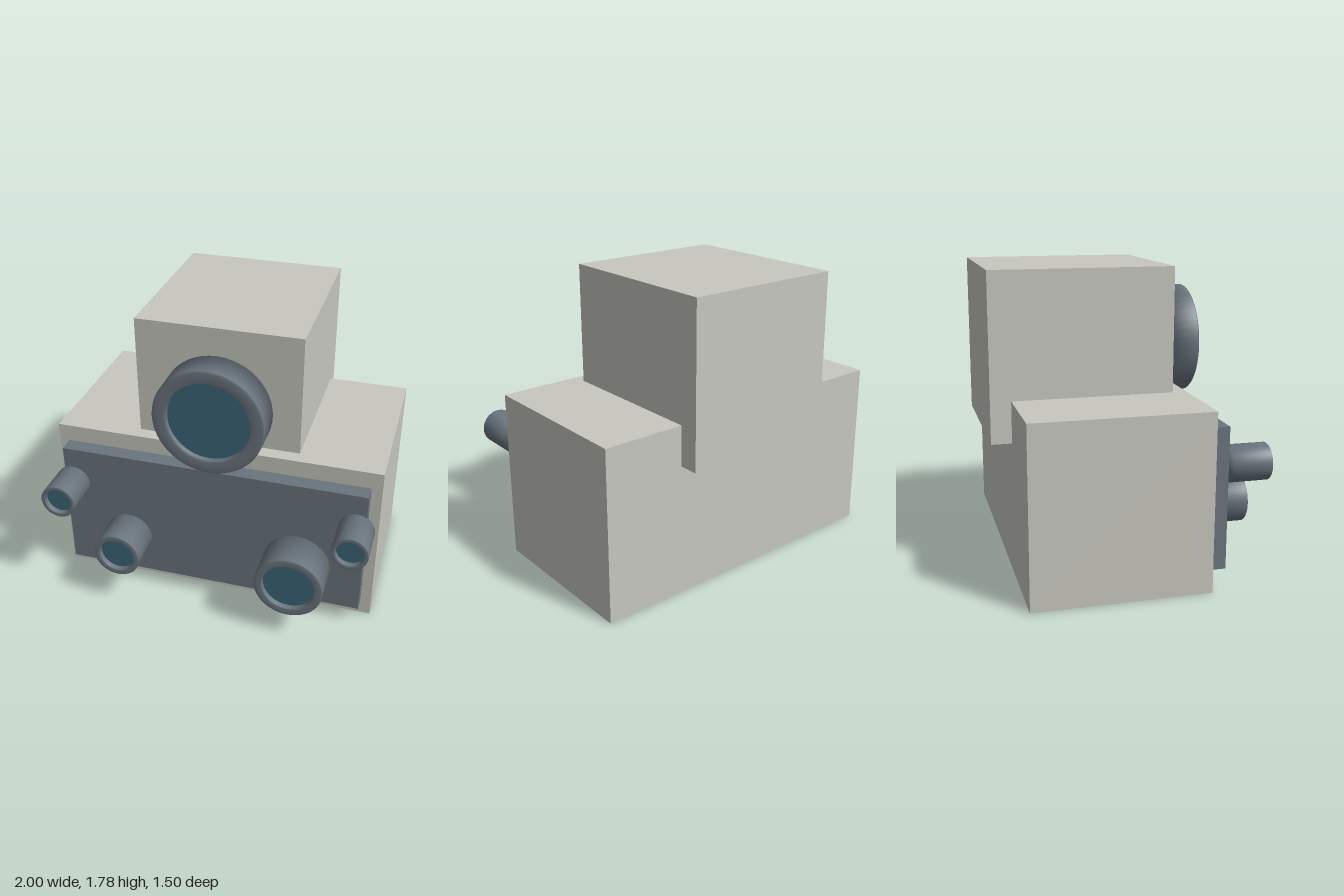
import * as THREE from 'three';

export function createModel() {
  const model = new THREE.Group();
  const paint = (name, color) => {
    const m = new THREE.MeshStandardMaterial({ color });
    m.name = name;
    return m;
  };
  const casing = paint('pale grey casing', 0xc8c8c0);
  const slate = paint('slate grey', 0x6a757e);
  const glass = paint('teal glass', 0x3c6678);

  // Box given by its lower and upper corners
  const box = (name, material, a, b) => {
    const size = b.map((v, i) => v - a[i]);
    const mesh = new THREE.Mesh(new THREE.BoxGeometry(...size), material);
    mesh.position.set(...a.map((v, i) => (v + b[i]) / 2));
    mesh.name = name;
    model.add(mesh);
  };
  box('body', casing, [-1, 0, -0.63], [1, 1.05, 0.41]);
  box('head', casing, [-0.495, 0.805, -0.75], [0.495, 1.785, 0.325]);
  box('frontPanel', slate, [-0.94, 0.11, 0.405], [0.935, 0.945, 0.508]);

  // Softly shaded barrel with a raised rim and a recessed glass disc
  const lens = (name, x, y, r, inner, back, front) => {
    const group = new THREE.Group();
    group.name = name;
    const c = 0.03 * r;
    const recess = 0.035;
    const profile = [
      [0, back], [r, back], [r, front - c], [r - c, front],
      [inner + c, front], [inner, front - c], [inner, front - recess - 0.01],
    ].map(([px, py]) => new THREE.Vector2(px, py));
    const barrel = new THREE.Mesh(new THREE.LatheGeometry(profile, 48).rotateX(Math.PI / 2), slate);
    barrel.name = 'barrel';
    const disc = new THREE.Mesh(new THREE.CircleGeometry(inner, 48), glass);
    disc.name = 'glass';
    disc.position.z = front - recess;
    group.add(barrel, disc);
    group.position.set(x, y, 0);
    model.add(group);
  };
  lens('mainLens', 0, 1.295, 0.333, 0.248, 0.352, 0.547);
  lens('upperRightLens', -0.885, 0.717, 0.107, 0.082, 0.515, 0.75);
  lens('upperLeftLens', 0.882, 0.717, 0.107, 0.082, 0.515, 0.75);
  lens('lowerRightLens', -0.532, 0.383, 0.145, 0.108, 0.515, 0.75);
  lens('lowerLeftLens', 0.54, 0.383, 0.206, 0.156, 0.515, 0.75);

  return model;
}
